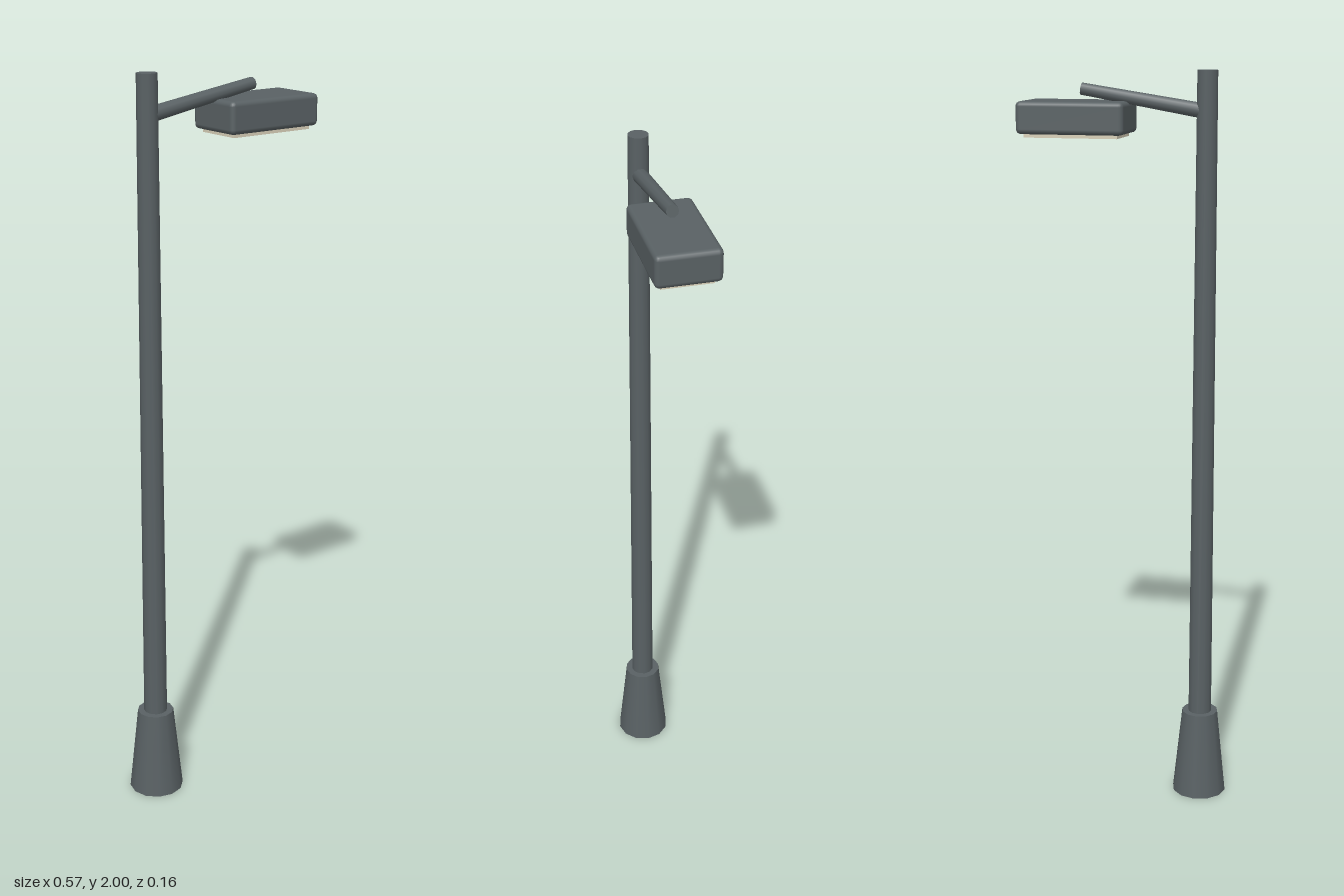
import * as THREE from 'three';
import { RoundedBoxGeometry } from 'three/addons/geometries/RoundedBoxGeometry.js';

export function createModel() {
  const group = new THREE.Group();
  const metal = new THREE.MeshStandardMaterial({ color: 0x596164 });
  const glass = new THREE.MeshStandardMaterial({ color: 0xd8d0b8 });
  const poleX = -0.21;

  const add = (name, geometry, material, x, y, z = 0) => {
    const mesh = new THREE.Mesh(geometry, material);
    mesh.name = name;
    mesh.position.set(x, y, z);
    group.add(mesh);
    return mesh;
  };

  // Flared foot and tapered pole
  add('base', new THREE.CylinderGeometry(0.05, 0.075, 0.24, 12), metal, poleX, 0.12);
  add('pole', new THREE.CylinderGeometry(0.027, 0.033, 2, 12), metal, poleX, 1);

  // Bracket arm rising gently from the pole over the lamp head
  const start = new THREE.Vector3(poleX, 1.896, 0);
  const end = new THREE.Vector3(0.123, 1.95, 0);
  const along = end.clone().sub(start);
  const middle = start.clone().add(end).multiplyScalar(0.5);
  const arm = add('arm', new THREE.CylinderGeometry(0.016, 0.02, along.length(), 10),
    metal, middle.x, middle.y);
  arm.quaternion.setFromUnitVectors(new THREE.Vector3(0, 1, 0), along.normalize());

  // Lamp housing with the light panel set into its underside
  add('lampHead', new RoundedBoxGeometry(0.288, 0.084, 0.164, 2, 0.013), metal, 0.137, 1.878);
  add('lightPanel', new THREE.BoxGeometry(0.25, 0.02, 0.13), glass, 0.137, 1.837);

  return group;
}
